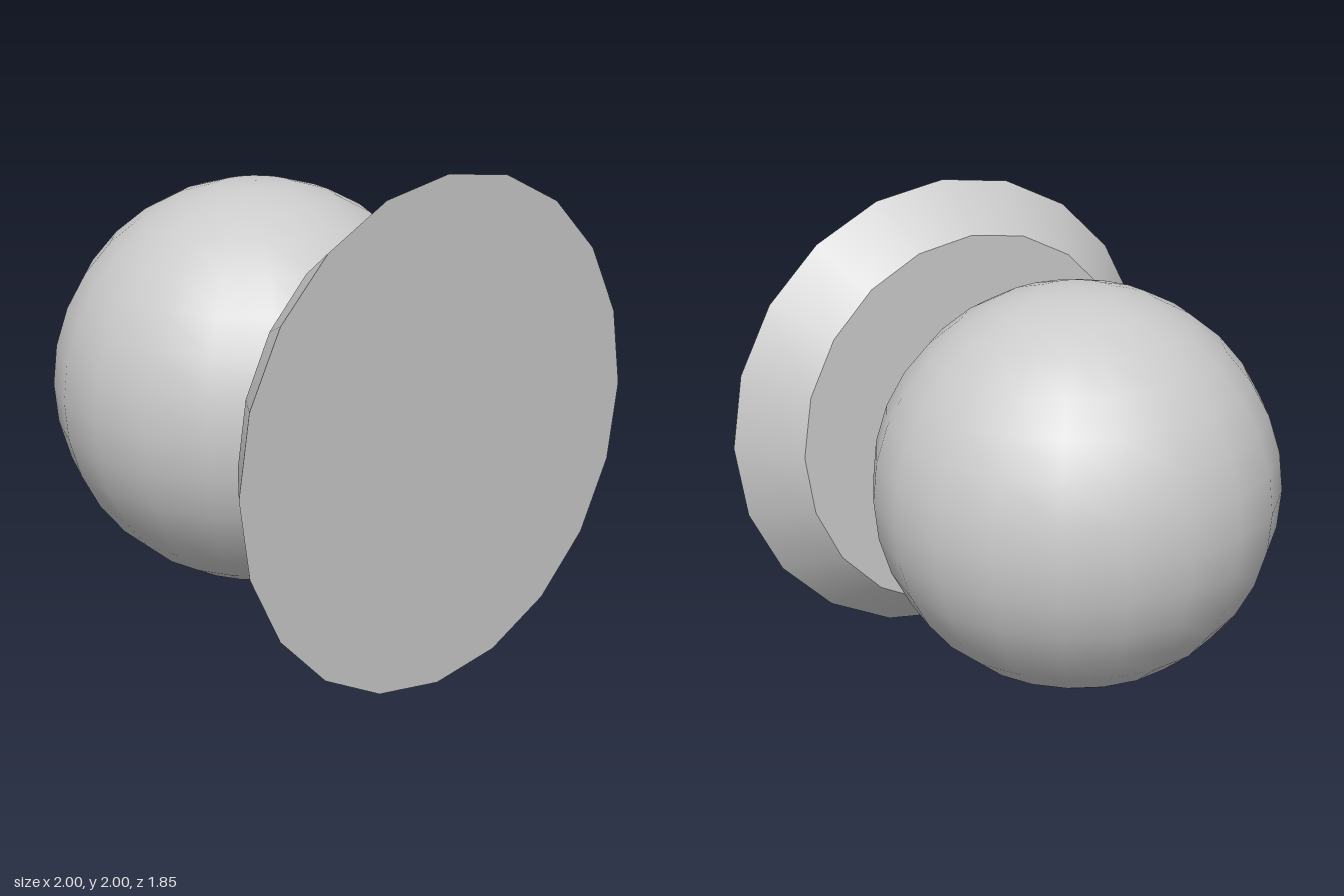
import * as THREE from 'three';

export function createModel() {
  const group = new THREE.Group();
  const material = new THREE.MeshStandardMaterial({ color: 0xcccccc });

  // Round knob, slightly sunk into the back of the base plate
  const ball = new THREE.Mesh(new THREE.SphereGeometry(0.815, 20, 16), material);
  ball.name = 'ball';
  ball.position.set(-0.02, 0.99, -0.11);
  group.add(ball);

  // Tapered base plate: wide face to the front, narrower slightly oval face to the back
  const plateGeometry = new THREE.CylinderGeometry(1, 1, 0.245, 20);
  plateGeometry.rotateX(Math.PI / 2);
  const p = plateGeometry.attributes.position;
  for (let i = 0; i < p.count; i++) {
    if (p.getZ(i) < 0) p.setXY(i, p.getX(i) * 0.795, p.getY(i) * 0.82);
  }
  // Smooth slanted rim: tilt the side normals to match the taper
  const n = plateGeometry.attributes.normal;
  const slope = new THREE.Vector3();
  for (let i = 0; i < p.count; i++) {
    if (Math.abs(n.getZ(i)) > 0.5) continue;
    slope.set(n.getX(i), n.getY(i), -0.8).normalize();
    n.setXYZ(i, slope.x, slope.y, slope.z);
  }
  const plate = new THREE.Mesh(plateGeometry, material);
  plate.name = 'basePlate';
  plate.position.set(0, 1, 0.8);
  group.add(plate);

  return group;
}
